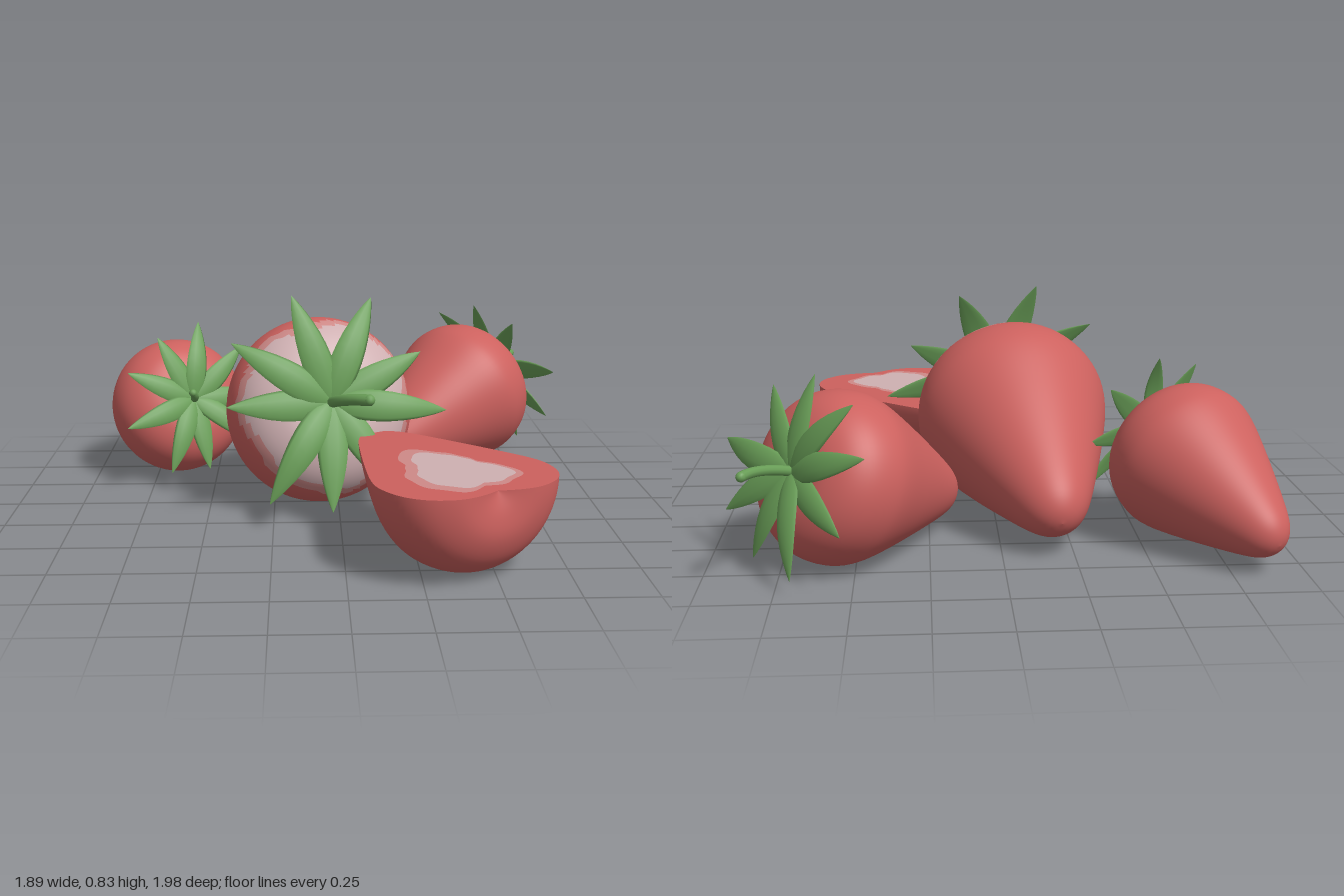
import * as THREE from 'three';

const paint = (name, color, side = THREE.FrontSide) => {
  const m = new THREE.MeshStandardMaterial({ color, side });
  m.name = name;
  return m;
};

// Berry outline for radius 1: [radius, distance from the calyx end], tip first
const OUTLINE = new THREE.SplineCurve([
  [0, 2.6], [0.12, 2.575], [0.25, 2.48], [0.37, 2.3], [0.56, 1.9], [0.8, 1.35], [0.97, 0.9], [1, 0.64],
  [0.93, 0.36], [0.76, 0.15], [0.5, 0.03], [0.25, 0.03], [0, 0.1],
].map(([r, s]) => new THREE.Vector2(r, -s)));

const outline = (R, n) => OUTLINE.getSpacedPoints(n).map(p => new THREE.Vector2(Math.max(0, p.x * R), p.y * R));

// Group whose +y runs from tip to calyx and whose +z points as far up as it can
function axisGroup(name, base, dir) {
  const g = new THREE.Group();
  g.name = name;
  const y = new THREE.Vector3(...dir).normalize();
  const z = new THREE.Vector3(0, 1, 0).addScaledVector(y, -y.y).normalize();
  const x = new THREE.Vector3().crossVectors(y, z);
  g.quaternion.setFromRotationMatrix(new THREE.Matrix4().makeBasis(x, y, z));
  g.position.set(...base);
  return g;
}

// Sort triangles into colour groups by how far they lie from the calyx end, with a wavy border
function bandGroups(geo, R, limits) {
  const pos = geo.attributes.position, idx = geo.index.array;
  const bins = [...limits, Infinity].map(() => []);
  for (let i = 0; i < idx.length; i += 3) {
    const tri = [idx[i], idx[i + 1], idx[i + 2]];
    const c = tri.reduce((v, k) => v.add(new THREE.Vector3().fromBufferAttribute(pos, k)), new THREE.Vector3());
    const a = Math.atan2(c.x, c.z);
    const s = -c.y / 3 / R + 0.04 * Math.sin(3 * a + 1) + 0.03 * Math.sin(7 * a);
    const bin = limits.findIndex(l => s < l);
    bins[bin < 0 ? limits.length : bin].push(...tri);
  }
  geo.setIndex(bins.flat());
  let start = 0;
  bins.forEach((b, i) => { geo.addGroup(start, b.length, i); start += b.length; });
  return geo;
}

// Pointed, slightly puffy leaf along +x
function leafGeometry(length, width, lift, bend, sway) {
  const g = new THREE.SphereGeometry(1, 10, 14);
  const p = g.attributes.position;
  for (let i = 0; i < p.count; i++) {
    const t = (p.getY(i) + 1) / 2;
    const w = width * 1.3 * Math.pow(1 - t, 0.4);
    const side = p.getX(i);
    p.setXYZ(i,
      length * t,
      p.getZ(i) * w * 0.22 + length * (lift * Math.sin(Math.PI * t) + bend * t * t) - Math.abs(side) * w * 0.12,
      side * w + sway * length * t * t);
  }
  g.computeVertexNormals();
  return g;
}

export function createModel() {
  const red = paint('berry red', 0xcc615e);
  const pink = paint('flesh pink', 0xcf8a88, THREE.DoubleSide);
  const pale = paint('pale core', 0xcfb0b2, THREE.DoubleSide);
  const green = paint('leaf green', 0x6a9f58);
  const model = new THREE.Group();
  model.name = 'strawberries';
  const add = (parent, name, geo, mat) => {
    const m = new THREE.Mesh(geo, mat);
    m.name = name;
    parent.add(m);
    return m;
  };

  // Whole berries: calyx position, axis, radius, leaf size, angle of first leaf, stem end offset
  const berries = [
    { name: 'largeBerry', base: [-0.03, 0.46, 0.18], dir: [0.18, 0.33, 0.92], R: 0.36, leaf: 0.42, turn: 107, stem: [0.13, 0.05, 0.18], ripe: false },
    { name: 'rightBerry', base: [-0.58, 0.365, -0.28], dir: [0.43, 0.33, 0.84], R: 0.277, leaf: 0.31, turn: 118, stem: [0, 0.04, 0.06], ripe: true },
    { name: 'leftBerry', base: [0.7, 0.375, -0.76], dir: [0.68, 0.31, -0.66], R: 0.297, leaf: 0.34, turn: 92, stem: [0.13, 0.04, -0.19], ripe: true },
  ];
  for (const b of berries) {
    const g = axisGroup(b.name, b.base, b.dir);
    model.add(g);
    const body = new THREE.LatheGeometry(outline(b.R, 64), 72);
    if (b.ripe) add(g, 'berryBody', body, red);
    else add(g, 'berryBody', bandGroups(body, b.R, [0.24, 0.34]), [pale, pink, red]);

    // Calyx of nine leaves
    const calyx = new THREE.Group();
    calyx.name = 'calyx';
    g.add(calyx);
    for (let i = 0; i < 9; i++) {
      const wave = Math.sin(i * 2.4 + b.turn);
      const geo = leafGeometry(b.leaf * (1 + 0.06 * wave), b.leaf * 0.135, 0.06 + 0.03 * wave,
        0.05 * Math.cos(i * 3.7 + b.turn), 0.08 * Math.sin(i * 1.9));
      const leaf = add(calyx, 'leaf', geo, green);
      leaf.rotation.y = THREE.MathUtils.degToRad(b.turn + 180 - i * 40 + 4 * wave);
    }

    // Curved stem
    const end = new THREE.Vector3(...b.stem).applyQuaternion(g.quaternion.clone().invert());
    const path = new THREE.QuadraticBezierCurve3(
      new THREE.Vector3(0, -0.1 * b.R, 0), new THREE.Vector3(0, end.y * 0.6, 0), end);
    const r = b.leaf * 0.05;
    add(g, 'stem', new THREE.TubeGeometry(path, 12, r, 10), green);
    const cap = add(g, 'stemEnd', new THREE.SphereGeometry(r, 10, 6), green);
    cap.position.copy(end);
    cap.scale.setScalar(1.02);
  }

  // Halved berry with its cut face upward
  const R = 0.325;
  const half = axisGroup('halvedBerry', [0.495, 0.34, 0.925], [0.43, 0, 0.9]);
  model.add(half);
  const profile = outline(R, 64);
  add(half, 'halfBody', new THREE.LatheGeometry(profile, 40, Math.PI / 2, Math.PI), red);
  const ring = [...profile, ...profile.slice(1, -1).reverse().map(p => new THREE.Vector2(-p.x, p.y))];
  add(half, 'cutFace', new THREE.ShapeGeometry(new THREE.Shape(ring)), red);

  // Paler flesh as wavy thin plates on the cut face
  const flesh = (name, scale, mid, shift, height, mat) => {
    const pts = ring.map(p => {
      const x = p.x, y = p.y + 1.3 * R, a = Math.atan2(y, x);
      const k = scale * (1 + 0.05 * Math.sin(5 * a + 1) + 0.025 * Math.sin(11 * a));
      return new THREE.Vector2(x * k + shift, y * k + mid);
    });
    add(half, name, new THREE.ShapeGeometry(new THREE.Shape(pts)), mat).position.z = height;
  };
  flesh('fleshRing', 0.59, -0.32, 0.012, 0.002, pink);
  flesh('fleshCore', 0.49, -0.305, 0, 0.004, pale);

  return model;
}
